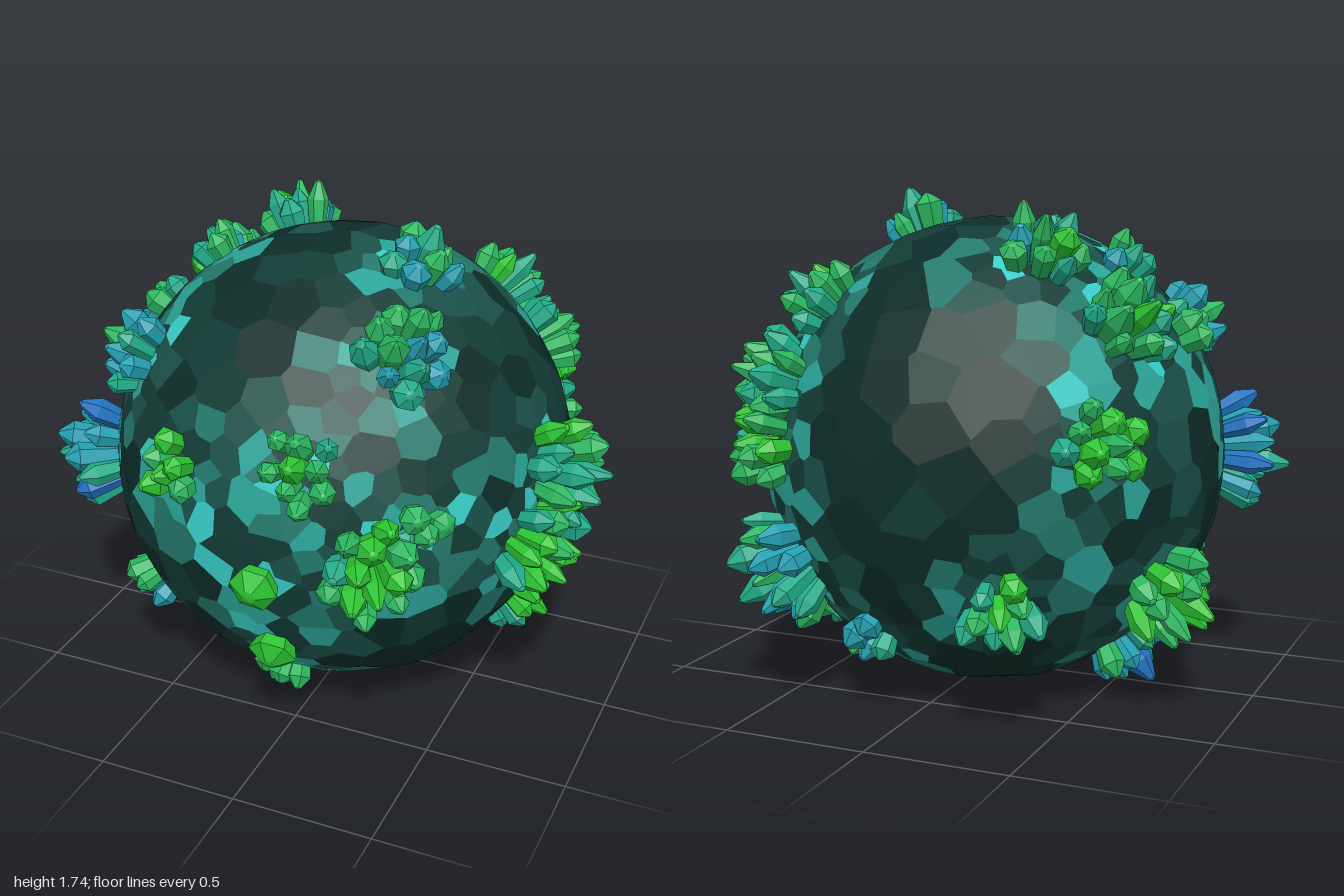
import * as THREE from 'three';
import { ConvexGeometry } from 'three/addons/geometries/ConvexGeometry.js';

const CENTER = new THREE.Vector3(-0.05, 0.84, -0.05);
const R = 0.813;

// Crystal clusters: longitude from the front, latitude, crystal count, hue (0 green .. 3 blue)
const CLUSTERS = [
  [-21, 15, 6, 0.5], [14, 21, 9, 0.4], [29, -1, 13, 1], [41, 8, 4, 2],
  [3, -8, 1, 0.2], [4, -31, 1, 0.7], [5, -48, 2, 0.3], [-11, -59, 2, 1.4],
  [-52, -32, 6, 2], [-66, -1, 16, 2.8], [-55, 31, 9, 2.2], [42, 46, 12, 2],
  [76, 67, 8, 2.1], [83, 9, 14, 1.2], [73, -7, 14, 1.2], [103, -40, 9, 1],
  [136, 20, 13, 1.4], [138, 6, 11, 0.7], [136, 41, 8, 0.8], [137, -24, 20, 2],
  [-119, 36, 12, 1], [-136, 59, 11, 1.3], [-94, 54, 5, 1.4], [-90, 33, 5, 1.6],
  [-134, 10, 10, 0.8], [-108, -28, 13, 1.1], [-91, -37, 6, 1.2], [-96, -53, 9, 2.3],
  [-156, -28, 10, 1.1], [160, -43, 5, 2],
].map(([lon, lat, count, hue]) => ({
  dir: new THREE.Vector3().setFromSphericalCoords(
    1, THREE.MathUtils.degToRad(90 - lat), THREE.MathUtils.degToRad(lon)),
  height: count === 1 ? 0.12 : Math.min(0.25, 0.085 + 0.011 * count),
  count, hue,
}));

const flat = (color) => new THREE.MeshStandardMaterial({ color, flatShading: true });

function seeded(seed) {
  return () => {
    seed = (seed * 1664525 + 1013904223) >>> 0;
    return seed / 4294967296;
  };
}

// Gap to the nearest cluster: 0 beside one, 1 far away
function remoteness(p) {
  let best = 10;
  for (const c of CLUSTERS) best = Math.min(best, p.distanceTo(c.dir) - 0.025 * Math.sqrt(c.count));
  return THREE.MathUtils.clamp((best - 0.06) / 0.3, 0, 1);
}

// Unit directions of the rock facets, packed tighter around the clusters
function facetDirections(rand) {
  const points = [];
  for (let i = 0; i < 16000; i++) {
    const y = 2 * rand() - 1, a = 2 * Math.PI * rand(), s = Math.sqrt(1 - y * y);
    const p = new THREE.Vector3(s * Math.cos(a), y, s * Math.sin(a));
    const gap = THREE.MathUtils.lerp(0.055, 0.17, remoteness(p));
    if (points.every((q) => q.distanceTo(p) > gap)) points.push(p);
  }
  return points;
}

// Rock: a polyhedron whose flat polygons touch the sphere (dual of the hull of the directions)
function makeRock(rand) {
  const key = (v) => `${v.x.toFixed(4)},${v.y.toFixed(4)},${v.z.toFixed(4)}`;
  const dirs = facetDirections(rand).map((d) => new THREE.Vector3(...new Float32Array(d.toArray())));
  const cells = new Map(dirs.map((d) => [key(d), { dir: d, corners: [] }]));
  const pos = new ConvexGeometry(dirs).getAttribute('position');
  for (let i = 0; i < pos.count; i += 3) {
    const t = [0, 1, 2].map((k) => new THREE.Vector3().fromBufferAttribute(pos, i + k));
    const n = new THREE.Triangle(...t).getNormal(new THREE.Vector3());
    const corner = n.clone().multiplyScalar(R / n.dot(t[0]));
    for (const v of t) cells.get(key(v)).corners.push(corner);
  }

  const shades = [0x0d2c28, 0x133b35, 0x1a5048, 0x23786c, 0x2ba398, 0x38ccc6];
  const buckets = shades.map(() => []);
  for (const { dir, corners } of cells.values()) {
    // Sort each facet's corners around its outward direction, then fan it into triangles
    const u = new THREE.Vector3(0.31, 0.87, 0.38).cross(dir).normalize();
    const w = dir.clone().cross(u);
    const angle = (c) => Math.atan2(c.dot(w), c.dot(u));
    corners.sort((a, b) => angle(a) - angle(b));
    const far = remoteness(dir), roll = rand();
    const level = (1 - far) * 1.8 + roll * roll * (far > 0.9 ? 1.8 : 4);
    const bucket = buckets[Math.min(5, Math.floor(level))];
    for (let i = 1; i < corners.length - 1; i++) bucket.push(corners[0], corners[i], corners[i + 1]);
  }

  const rock = new THREE.Group();
  rock.name = 'rock';
  buckets.forEach((points, i) => {
    const geometry = new THREE.BufferGeometry().setFromPoints(points);
    geometry.computeVertexNormals();
    const mesh = new THREE.Mesh(geometry, flat(shades[i]));
    mesh.name = `rockFacets${i + 1}`;
    rock.add(mesh);
  });
  return rock;
}

// Crystal: six-sided prism flaring to a shoulder and closing in a point, unit height and radius
function crystalGeometry(shoulder) {
  const profile = [[0.7, 0], [1, shoulder], [0.3, 0.96], [0, 1]].map(([x, y]) => new THREE.Vector2(x, y));
  return new THREE.LatheGeometry(profile, 6);
}

function makeClusters(rand) {
  const shapes = [0.62, 0.7, 0.78].map(crystalGeometry);
  const materials = [0x2cc432, 0x2bb860, 0x22ab88, 0x249fb0, 0x2073c2].map(flat);
  const up = new THREE.Vector3(0, 1, 0);
  const all = new THREE.Group();
  all.name = 'crystalClusters';
  CLUSTERS.forEach(({ dir, count, height, hue }, index) => {
    const cluster = new THREE.Group();
    cluster.name = `crystalCluster${index + 1}`;
    cluster.position.copy(dir).multiplyScalar(R - 0.03);
    cluster.quaternion.setFromUnitVectors(up, dir);
    const turn = rand() * 6.28;
    const spread = count > 1 ? 0.031 * Math.sqrt(count) : 0;
    for (let i = 0; i < count; i++) {
      // Sunflower layout, tallest in the middle and leaning outward at the rim
      const f = Math.sqrt((i + 0.3) / count), a = turn + i * 2.4;
      const x = Math.cos(a) * f * spread, z = Math.sin(a) * f * spread;
      const lean = new THREE.Vector3(x * 4.5, 1, z * 4.5).normalize();
      const tall = 0.03 + height * (1.02 - 0.42 * f) * (0.74 + 0.36 * rand());
      const wide = count === 1 ? 0.085 : 0.036 + 0.018 * rand();
      const tone = THREE.MathUtils.clamp(Math.round(hue + (rand() - 0.5) * 2.6), 0, 4);
      const crystal = new THREE.Mesh(shapes[i % 3], materials[tone]);
      crystal.name = 'crystal';
      crystal.position.set(x, -(x * x + z * z) / (2 * R), z);
      crystal.quaternion.setFromUnitVectors(up, lean);
      crystal.rotateY(rand() * 6.28);
      crystal.scale.set(wide, tall, wide);
      cluster.add(crystal);
    }
    all.add(cluster);
  });
  return all;
}

export function createModel() {
  const model = new THREE.Group();
  model.name = 'crystalRock';
  const body = new THREE.Group();
  body.name = 'body';
  body.position.copy(CENTER);
  body.add(makeRock(seeded(7)), makeClusters(seeded(21)));
  model.add(body);
  return model;
}
